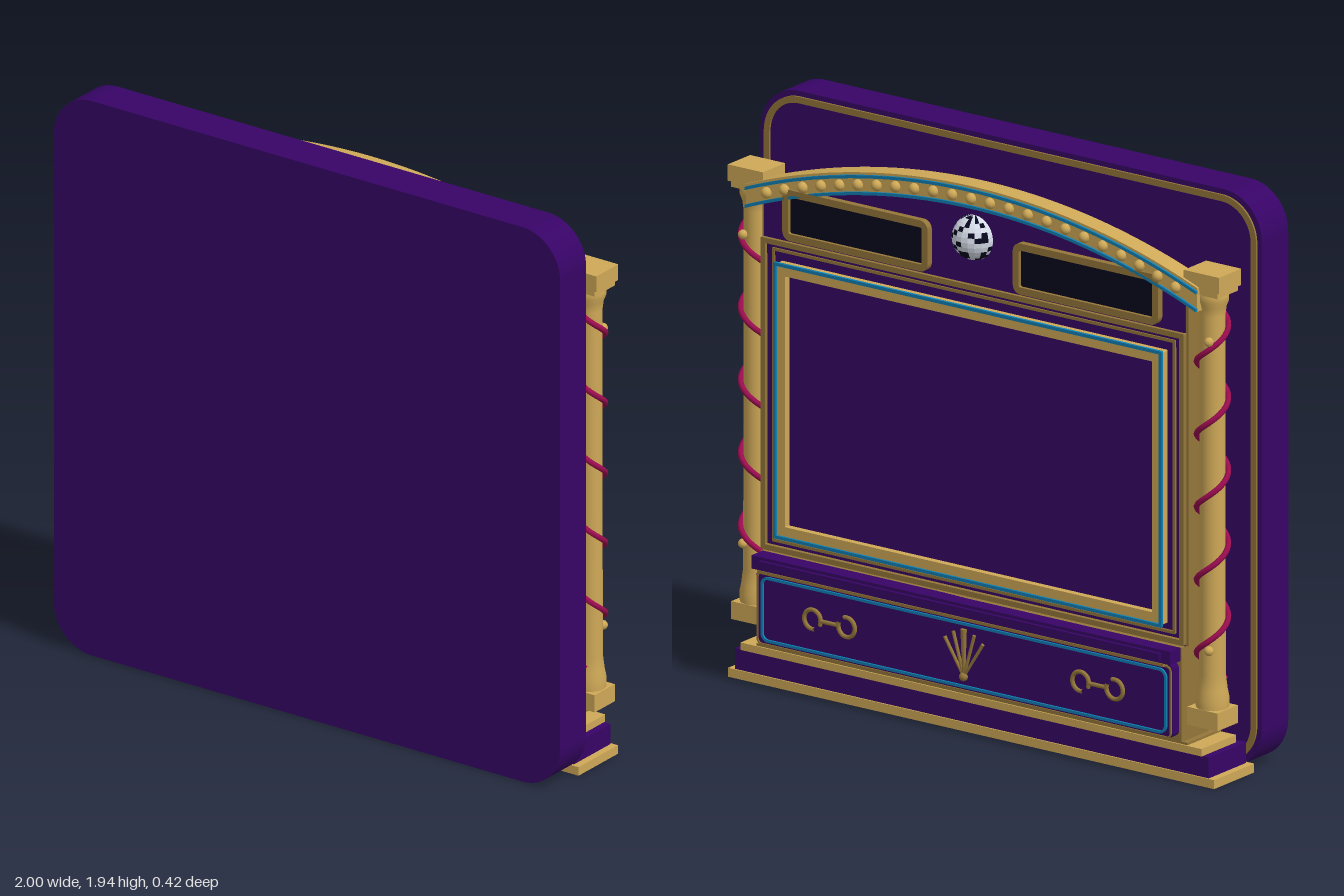
import * as THREE from 'three';

const mat = (name, color) => {
  const m = new THREE.MeshStandardMaterial({ color });
  m.name = name;
  return m;
};

export function createModel() {
  const root = new THREE.Group();
  const purple = mat('purple', 0x370466);
  const gold = mat('gold', 0xcfa957);
  const antique = mat('antiqueGold', 0x94763a);
  const teal = mat('teal', 0x0f80b4);
  const crimson = mat('crimson', 0x9c0c50);
  const navy = mat('navy', 0x07071d);
  const silver = mat('silver', 0xdfe6f2);

  const add = (name, geo, material, x = 0, y = 0, z = 0, parent = root) => {
    const m = new THREE.Mesh(geo, material);
    m.name = name;
    m.position.set(x, y, z);
    parent.add(m);
    return m;
  };
  // Box given by its limits
  const block = (name, material, x0, x1, y0, y1, z0, z1) =>
    add(name, new THREE.BoxGeometry(Math.abs(x1 - x0), y1 - y0, z1 - z0), material,
      (x0 + x1) / 2, (y0 + y1) / 2, (z0 + z1) / 2);

  const roundRect = (C, w, h, r) => {
    const s = new C(), x = w / 2, y = h / 2;
    s.moveTo(-x + r, -y);
    s.lineTo(x - r, -y);
    s.absarc(x - r, -y + r, r, -Math.PI / 2, 0);
    s.lineTo(x, y - r);
    s.absarc(x - r, y - r, r, 0, Math.PI / 2);
    s.lineTo(-x + r, y);
    s.absarc(-x + r, y - r, r, Math.PI / 2, Math.PI);
    s.lineTo(-x, -y + r);
    s.absarc(-x + r, -y + r, r, Math.PI, Math.PI * 1.5);
    return s;
  };
  const extrude = (shape, depth, curveSegments = 12) =>
    new THREE.ExtrudeGeometry(shape, { depth, bevelEnabled: false, curveSegments });
  // Rounded slab, or a frame of border t, from z0 to z1
  const slab = (name, material, x, y, w, h, r, z0, z1, t = 0) => {
    const s = roundRect(THREE.Shape, w, h, r);
    if (t) s.holes.push(roundRect(THREE.Path, w - 2 * t, h - 2 * t, Math.max(r - t, 0.002)));
    return add(name, extrude(s, z1 - z0), material, x, y, z0);
  };

  // Large rounded panel and its trim close to the edge
  slab('frontPanel', purple, 0, 0.97, 2, 1.94, 0.15, 0.07, 0.212);
  slab('panelTrim', antique, 0, 0.97, 1.965, 1.905, 0.14, 0.063, 0.07, 0.022);

  // Stepped plinth
  block('plinthFoot', gold, -0.97, 0.97, 0, 0.03, -0.145, 0.07);
  block('plinthBand', purple, -0.945, 0.945, 0.03, 0.1, -0.14, 0.06);
  block('plinthTop', gold, -0.92, 0.92, 0.1, 0.125, -0.145, 0.04);
  block('plinthCap', antique, -0.86, 0.86, 0.125, 0.133, -0.14, 0.04);

  // Cabinet body
  block('drawerBody', antique, -0.84, 0.84, 0.133, 0.45, -0.145, 0.0);
  block('cabinetBody', purple, -0.84, 0.84, 0.45, 1.68, -0.125, -0.03);
  slab('bodyFrame', antique, 0, 0.98, 1.69, 1.05, 0.004, -0.14, -0.125, 0.018);
  slab('bodyFrameInner', antique, 0, 0.98, 1.61, 0.99, 0.004, -0.132, -0.125, 0.01);

  // Deep screen frame with an outline
  slab('screenFrame', gold, 0, 0.975, 1.54, 0.92, 0.004, -0.158, -0.125, 0.038);
  slab('screenLine', teal, 0, 0.975, 1.55, 0.93, 0.004, -0.166, -0.156, 0.011);
  block('screen', purple, -0.735, 0.735, 0.55, 1.4, -0.135, -0.124);

  // Arched pediment: arcs share one centre
  const cy = -0.66, R = 2.5, half = 0.9;
  const band = (outer, inner, depth) => {
    const s = new THREE.Shape(), a = Math.asin(half / outer), b = Math.asin(half / inner);
    s.absarc(0, cy, outer, Math.PI / 2 - a, Math.PI / 2 + a, false);
    s.absarc(0, cy, inner, Math.PI / 2 + b, Math.PI / 2 - b, true);
    s.closePath();
    return extrude(s, depth, 36);
  };
  add('archBand', band(R, R - 0.075, 0.07), gold, 0, 0, -0.142);
  add('archUpperLine', band(R - 0.008, R - 0.018, 0.01), teal, 0, 0, -0.15);
  add('archLowerLine', band(R - 0.064, R - 0.074, 0.01), teal, 0, 0, -0.15);
  const ped = new THREE.Shape();
  const pr = R - 0.07, pa = Math.asin(0.84 / pr);
  ped.moveTo(-0.84, 1.45);
  ped.lineTo(0.84, 1.45);
  ped.absarc(0, cy, pr, Math.PI / 2 - pa, Math.PI / 2 + pa, false);
  add('pediment', extrude(ped, 0.055, 36), purple, 0, 0, -0.127);
  const beadGeo = new THREE.SphereGeometry(0.019, 10, 8);
  const beads = 23;
  for (let i = 0; i < beads; i++) {
    const a = (i / (beads - 1) - 0.5) * 2 * Math.asin(0.83 / R);
    add('archBead', beadGeo, gold, Math.sin(a) * (R - 0.041), cy + Math.cos(a) * (R - 0.041), -0.145);
  }

  // Two grille panels
  for (const s of [1, -1]) {
    slab('grilleRim', antique, s * 0.46, 1.602, 0.58, 0.172, 0.03, -0.15, -0.125, 0.024);
    slab('grille', navy, s * 0.46, 1.602, 0.55, 0.14, 0.01, -0.138, -0.125);
  }

  // Mirror ball with scattered dark tiles
  const ballGeo = new THREE.SphereGeometry(0.075, 20, 14).toNonIndexed();
  ballGeo.computeVertexNormals();
  let seed = 7;
  const rand = () => (seed = (seed * 16807) % 2147483647) / 2147483647;
  const cols = 20, tris = ballGeo.attributes.position.count / 3;
  for (let t = 0; t < tris;) {
    // Pole rows hold single triangles, other rows hold pairs
    const n = t < cols || t >= tris - cols ? 1 : 2;
    ballGeo.addGroup(t * 3, n * 3, rand() < 0.35 ? 1 : 0);
    t += n;
  }
  add('mirrorBall', ballGeo, [silver, navy], 0, 1.665, -0.124);

  // Drawer front, shelf and outline
  slab('drawerFront', purple, 0, 0.275, 1.66, 0.25, 0.02, -0.18, -0.145);
  slab('drawerLine', teal, 0, 0.272, 1.62, 0.22, 0.03, -0.187, -0.18, 0.009);
  slab('drawerTrim', antique, 0, 0.272, 1.655, 0.245, 0.02, -0.184, -0.18, 0.006);
  block('shelf', purple, -0.835, 0.835, 0.405, 0.45, -0.2, -0.14);
  block('shelfLip', purple, -0.8, 0.8, 0.415, 0.44, -0.212, -0.2);
  block('shelfTrim', antique, -0.81, 0.81, 0.395, 0.405, -0.204, -0.145);

  // Fan ornament with a strong centre stem
  for (let i = -2; i <= 2; i++) {
    const a = i * 0.28, len = 0.16 - Math.abs(i) * 0.008;
    const ray = add('fanRay', new THREE.CylinderGeometry(i ? 0.006 : 0.011, 0.005, len, 8), antique,
      Math.sin(a) * len / 2, 0.2 + Math.cos(a) * len / 2, -0.184);
    ray.rotation.z = -a;
  }
  add('fanBoss', new THREE.SphereGeometry(0.015, 12, 8), antique, 0, 0.2, -0.185);

  // Scroll ornaments: two open curls joined by a bar
  const curlGeo = new THREE.TorusGeometry(0.033, 0.0075, 8, 20, Math.PI * 1.75);
  for (const s of [1, -1]) {
    const scroll = new THREE.Group();
    scroll.name = 'scroll';
    scroll.position.set(s * 0.535, 0.275, -0.185);
    for (const k of [1, -1]) {
      const c = add('scrollCurl', curlGeo, antique, k * 0.068, 0, 0, scroll);
      c.rotation.z = k > 0 ? -Math.PI * 0.6 : Math.PI * 0.4;
    }
    const bar = add('scrollBar', new THREE.CylinderGeometry(0.0075, 0.0075, 0.08, 8), antique, 0, 0, 0, scroll);
    bar.rotation.z = Math.PI / 2;
    root.add(scroll);
  }

  // Columns with winding vines, mirrored left and right
  const profile = [[0.054, 0.25], [0.055, 0.28], [0.049, 0.31], [0.043, 0.36], [0.042, 1.0], [0.042, 1.57],
    [0.046, 1.6], [0.054, 1.62], [0.054, 1.64], [0.048, 1.66]].map(p => new THREE.Vector2(...p));
  const columnGeo = new THREE.LatheGeometry(profile, 24);
  const budGeo = new THREE.SphereGeometry(0.016, 10, 8);
  const cz = -0.073;
  for (const s of [1, -1]) {
    const x = s * 0.91;
    add('column', columnGeo, gold, x, 0, cz);
    block('columnBase', gold, x - 0.06, x + 0.06, 0.19, 0.25, cz - 0.055, cz + 0.055);
    block('columnCapital', gold, x - 0.06, x + 0.06, 1.645, 1.69, cz - 0.055, cz + 0.055);
    block('columnAbacus', gold, x - 0.07, x + 0.07, 1.665, 1.72, cz - 0.06, cz + 0.06);
    block('columnLink', antique, s * 0.81, s * 0.85, 0.45, 1.66, -0.12, -0.04);
    for (const y of [0.45, 1.49]) add('vineBud', budGeo, gold, x + s * 0.02, y, cz - 0.046);
    const pts = [];
    for (let i = 0; i <= 80; i++) {
      const y = 1.57 - (i / 80) * 1.24, t = (1.57 - y) / 0.245 * Math.PI * 2;
      pts.push(new THREE.Vector3(x + s * 0.051 * Math.sin(t), y, cz + 0.051 * Math.cos(t)));
    }
    add('vine', new THREE.TubeGeometry(new THREE.CatmullRomCurve3(pts), 160, 0.0095, 8), crimson);
  }
  return root;
}
